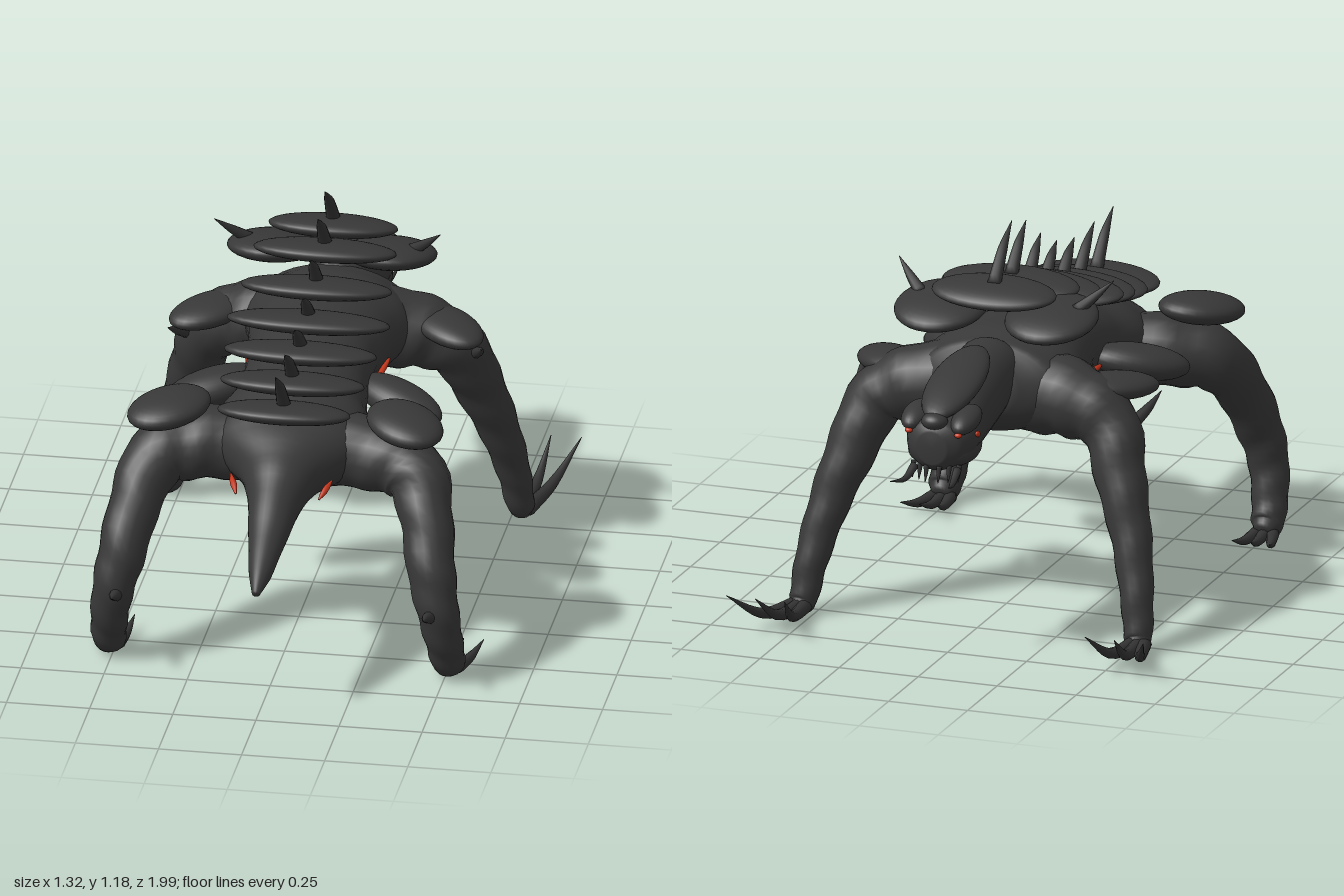
import * as THREE from 'three';

const skin = new THREE.MeshStandardMaterial({ color: 0x383838 });
skin.name = 'charcoal skin';
const horn = new THREE.MeshStandardMaterial({ color: 0x343434 });
horn.name = 'dark horn';
const glow = new THREE.MeshStandardMaterial({ color: 0xc4361c });
glow.name = 'ember red';

const X = new THREE.Vector3(1, 0, 0);
const Z = new THREE.Vector3(0, 0, 1);

export function createModel() {
  const model = new THREE.Group();
  model.name = 'creature';

  const add = (name, geometry, material) => {
    const mesh = new THREE.Mesh(geometry, material);
    mesh.name = name;
    model.add(mesh);
    return mesh;
  };

  // Smooth closed tube through points [x, y, z, radiusA, radiusB], with optional ripples
  function loft(name, points, material, { ref = X, steps = 32, sides = 20, ripple = 0 } = {}) {
    const curve = new THREE.CatmullRomCurve3(points.map(p => new THREE.Vector3(p[0], p[1], p[2])));
    const sizes = new THREE.CatmullRomCurve3(
      points.map(p => new THREE.Vector3(p[3], p[4] ?? p[3], 0)));
    const pos = [], index = [];
    for (let i = -1; i <= steps + 1; i++) {
      const t = Math.min(Math.max(i / steps, 0), 1);
      const c = curve.getPoint(t), dir = curve.getTangent(t), r = sizes.getPoint(t);
      const u = ref.clone().addScaledVector(dir, -ref.dot(dir)).normalize();
      const v = dir.clone().cross(u);
      const cap = i < 0 || i > steps ? 0.001 : 1;
      for (let j = 0; j < sides; j++) {
        const a = j / sides * Math.PI * 2;
        const k = cap * (1 + ripple * Math.sin(i * 1.3 + 2 * Math.sin(a)));
        const p = c.clone().addScaledVector(u, Math.cos(a) * Math.max(r.x, 0.0005) * k)
          .addScaledVector(v, Math.sin(a) * Math.max(r.y, 0.0005) * k);
        pos.push(p.x, p.y, p.z);
      }
    }
    for (let i = 0; i < steps + 2; i++) for (let j = 0; j < sides; j++) {
      const k = (j + 1) % sides, a = i * sides, b = a + sides;
      index.push(a + j, a + k, b + j, a + k, b + k, b + j);
    }
    const g = new THREE.BufferGeometry();
    g.setAttribute('position', new THREE.Float32BufferAttribute(pos, 3));
    g.setIndex(index);
    g.computeVertexNormals();
    return add(name, g, material);
  }

  function ellipsoid(name, center, radii, material = skin, rot = [0, 0, 0]) {
    const m = add(name, new THREE.SphereGeometry(1, 28, 18), material);
    m.position.set(...center);
    m.scale.set(...radii);
    m.rotation.set(...rot);
    return m;
  }

  // Curved spike: base, bend, tip
  const spike = (name, base, mid, tip, r) =>
    loft(name, [[...base, r], [...mid, r * 0.68], [...tip, 0.001]], horn, { steps: 10, sides: 10 });

  // Body and tail, tail at +z
  loft('body', [
    [0, 0.422, 1.0, 0.012, 0.012], [0, 0.45, 0.93, 0.033, 0.034], [0, 0.512, 0.8, 0.057, 0.054],
    [0, 0.575, 0.66, 0.084, 0.085], [0, 0.612, 0.56, 0.128, 0.108], [0, 0.642, 0.44, 0.23, 0.134],
    [0, 0.667, 0.34, 0.23, 0.144], [0, 0.695, 0.2, 0.195, 0.138], [0, 0.727, 0.05, 0.19, 0.14],
    [0, 0.74, -0.1, 0.21, 0.147], [0, 0.735, -0.27, 0.25, 0.157], [0, 0.735, -0.4, 0.225, 0.137],
    [0, 0.75, -0.48, 0.09, 0.08],
  ], skin, { steps: 60, sides: 32, ripple: 0.01 });

  // Head and its armour
  loft('head', [
    [0, 0.79, -0.365, 0.085, 0.08], [0, 0.788, -0.39, 0.102, 0.1], [0, 0.76, -0.5, 0.1, 0.116],
    [0, 0.728, -0.65, 0.102, 0.113], [0, 0.695, -0.8, 0.107, 0.09], [0, 0.688, -0.86, 0.085, 0.078],
    [0, 0.688, -0.89, 0.045, 0.05],
  ], skin, { steps: 30, sides: 28 });
  ellipsoid('headPlate', [0, 0.83, -0.68], [0.082, 0.037, 0.2], skin, [-0.27, 0, 0]);
  ellipsoid('snoutBump', [0, 0.765, -0.86], [0.04, 0.026, 0.036]);

  // Back plates and spikes: z, y, half width, spike length in z, spike height
  [
    [0.51, 0.792, 0.2, 0.13, 0.145], [0.36, 0.82, 0.217, 0.12, 0.118], [0.22, 0.856, 0.23, 0.09, 0.085],
    [0.08, 0.894, 0.246, 0.08, 0.083], [-0.06, 0.942, 0.228, 0.085, 0.1],
    [-0.21, 0.997, 0.215, 0.11, 0.122], [-0.355, 1.012, 0.195, 0.135, 0.143],
  ].forEach(([z, y, w, dz, dy]) => {
    ellipsoid('backPlate', [0, y, z], [w, 0.032, 0.098], skin, [-0.2, 0, 0]);
    spike('backSpike', [0, y + 0.025, z], [0, y + 0.035 + dy * 0.55, z + 0.015 + dz * 0.43],
      [0, y + 0.035 + dy, z + 0.015 + dz], 0.022);
  });

  // Paired parts
  for (const s of [1, -1]) {
    const mx = p => [s * p[0], ...p.slice(1)];
    const pad = (name, c, r, rot = [0, 0, 0], mat = skin) =>
      ellipsoid(name, mx(c), r, mat, [rot[0], s * rot[1], s * rot[2]]);
    const claw = (name, a, b, c, r) => spike(name, mx(a), mx(b), mx(c), r);

    loft('hindLeg', [
      [0.1, 0.63, 0.38, 0.115], [0.27, 0.628, 0.41, 0.108], [0.385, 0.602, 0.46, 0.097],
      [0.435, 0.5, 0.55, 0.079], [0.465, 0.36, 0.63, 0.072], [0.49, 0.24, 0.655, 0.062],
      [0.505, 0.13, 0.63, 0.055], [0.51, 0.06, 0.595, 0.05], [0.51, 0.04, 0.56, 0.028],
    ].map(mx), skin, { ref: Z, steps: 42, ripple: 0.04 });
    loft('frontLeg', [
      [0.1, 0.71, -0.31, 0.13], [0.25, 0.7, -0.34, 0.115], [0.365, 0.645, -0.36, 0.092],
      [0.425, 0.5, -0.42, 0.077], [0.48, 0.33, -0.475, 0.061], [0.515, 0.17, -0.525, 0.05],
      [0.53, 0.055, -0.555, 0.042], [0.535, 0.03, -0.58, 0.028],
    ].map(mx), skin, { ref: Z, steps: 42, ripple: 0.04 });

    // Armour pads
    pad('hipPad', [0.355, 0.757, 0.455], [0.135, 0.046, 0.103], [0, -0.785, -0.12]);
    pad('shoulderPad', [0.357, 0.742, -0.285], [0.14, 0.04, 0.085], [0, -0.785, -0.08]);
    pad('collarPlate', [0.175, 0.945, -0.335], [0.14, 0.042, 0.15], [-0.2, 0, 0]);
    pad('sideFin', [0.28, 0.682, 0.125], [0.155, 0.054, 0.076], [0, -0.5, -0.17]);
    pad('brow', [0.078, 0.76, -0.8], [0.042, 0.032, 0.078], [-0.2, 0, 0]);
    pad('cheek', [0.055, 0.66, -0.77], [0.05, 0.045, 0.1]);

    // Horns and spurs
    claw('collarSpike', [0.245, 0.97, -0.315], [0.29, 1.008, -0.285], [0.34, 1.055, -0.25], 0.02);
    claw('elbowSpike', [0.43, 0.645, -0.325], [0.455, 0.677, -0.265], [0.472, 0.712, -0.2], 0.02);
    claw('heelSpur', [0.475, 0.24, 0.68], [0.47, 0.262, 0.74], [0.47, 0.285, 0.815], 0.023);
    claw('tusk', [0.068, 0.615, -0.85], [0.075, 0.592, -0.91], [0.092, 0.605, -0.99], 0.013);
    for (let i = 0; i < 3; i++)
      claw('tooth', [0.02 + i * 0.026, 0.63, -0.875 + i * 0.016],
        [0.02 + i * 0.026, 0.605, -0.88 + i * 0.016], [0.02 + i * 0.026, 0.58, -0.887 + i * 0.016], 0.009);

    // Toes
    [[0.52, 0.503, 0.475], [0.535, 0.55, 0.568], [0.55, 0.598, 0.66]].forEach(([a, b, c]) =>
      claw('frontClaw', [a, 0.04, -0.56], [b, 0.055, -0.72], [c, 0.145, -0.86], 0.024));
    [[0.485, 0.475, 0.465], [0.51, 0.515, 0.525], [0.535, 0.56, 0.585]].forEach(([a, b, c]) =>
      claw('hindClaw', [a, 0.035, 0.575], [b, 0.033, 0.49], [c, 0.055, 0.415], 0.02));

    // Glowing slits and eyes
    pad('flankSlit', [0.2, 0.696, -0.03], [0.009, 0.008, 0.082], [0.15, -0.15, 0], glow);
    loft('tailSlit', [[0.152, 0.602, 0.555, 0.003], [0.138, 0.586, 0.59, 0.01], [0.125, 0.57, 0.625, 0.003]]
      .map(mx), glow, { steps: 8, sides: 8 });
    pad('eye', [0.109, 0.714, -0.785], [0.007, 0.009, 0.015], [0.4, 0, 0], glow);
    pad('frontEye', [0.078, 0.731, -0.87], [0.012, 0.008, 0.01], [0, 0, 0], glow);
  }
  return model;
}
